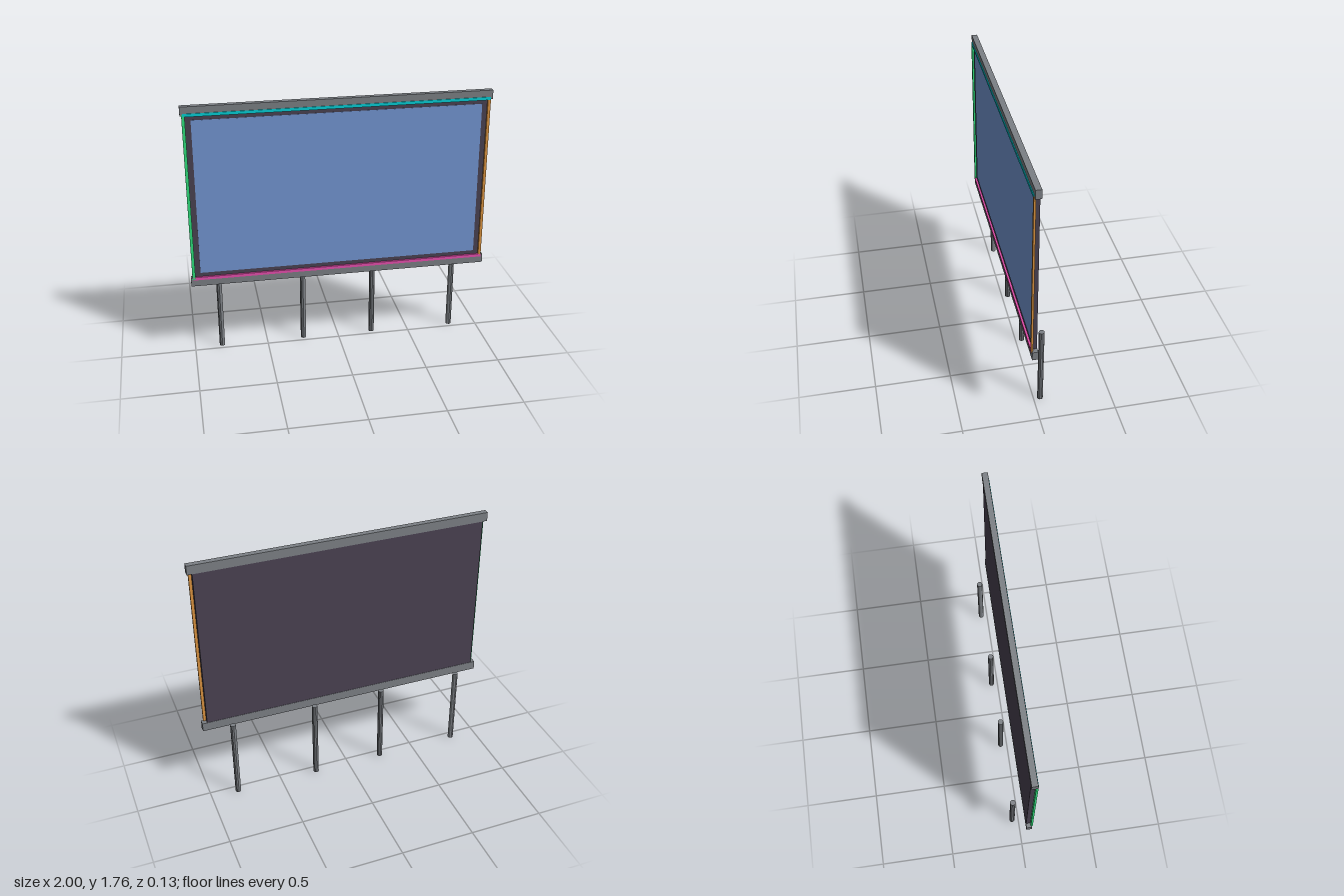
import * as THREE from 'three';

export function createModel() {
  const group = new THREE.Group();
  const paint = (color) => new THREE.MeshStandardMaterial({ color, flatShading: true });
  const metal = paint(0x7c8085);

  // Box given by its extents on each axis
  const box = (name, [x0, x1], [y0, y1], [z0, z1], material) => {
    const mesh = new THREE.Mesh(new THREE.BoxGeometry(x1 - x0, y1 - y0, z1 - z0), material);
    mesh.position.set((x0 + x1) / 2, (y0 + y1) / 2, (z0 + z1) / 2);
    mesh.name = name;
    group.add(mesh);
  };

  // Board with its picture area
  box('backPanel', [-0.97, 0.967], [0.56, 1.72], [0.022, 0.05], paint(0x4a4252));
  box('screen', [-0.935, 0.933], [0.617, 1.667], [0.045, 0.052], paint(0x7497d4));

  // Horizontal rails along the top and bottom
  box('topRail', [-1, 1], [1.697, 1.757], [0.02, 0.058], metal);
  box('bottomRail', [-1, 1], [0.525, 0.585], [0.02, 0.058], metal);

  // Coloured light strips around the front edge
  const depth = [0.05, 0.063];
  box('topLightStrip', [-0.985, 0.985], [1.693, 1.713], depth, paint(0x00d0d8));
  box('bottomLightStrip', [-0.985, 0.985], [0.57, 0.59], depth, paint(0xe84fae));
  box('rightLightStrip', [-0.99, -0.97], [0.575, 1.708], depth, paint(0x2ee07c));
  box('leftLightStrip', [0.967, 0.986], [0.575, 1.708], depth, paint(0xdc9440));

  // Support posts behind the board
  const postHeight = 0.57;
  const postGeometry = new THREE.CylinderGeometry(0.019, 0.019, postHeight, 10);
  for (const x of [-0.815, -0.245, 0.242, 0.812]) {
    const post = new THREE.Mesh(postGeometry, metal);
    post.name = 'supportPost';
    post.position.set(x, postHeight / 2, -0.044);
    group.add(post);
  }

  return group;
}
